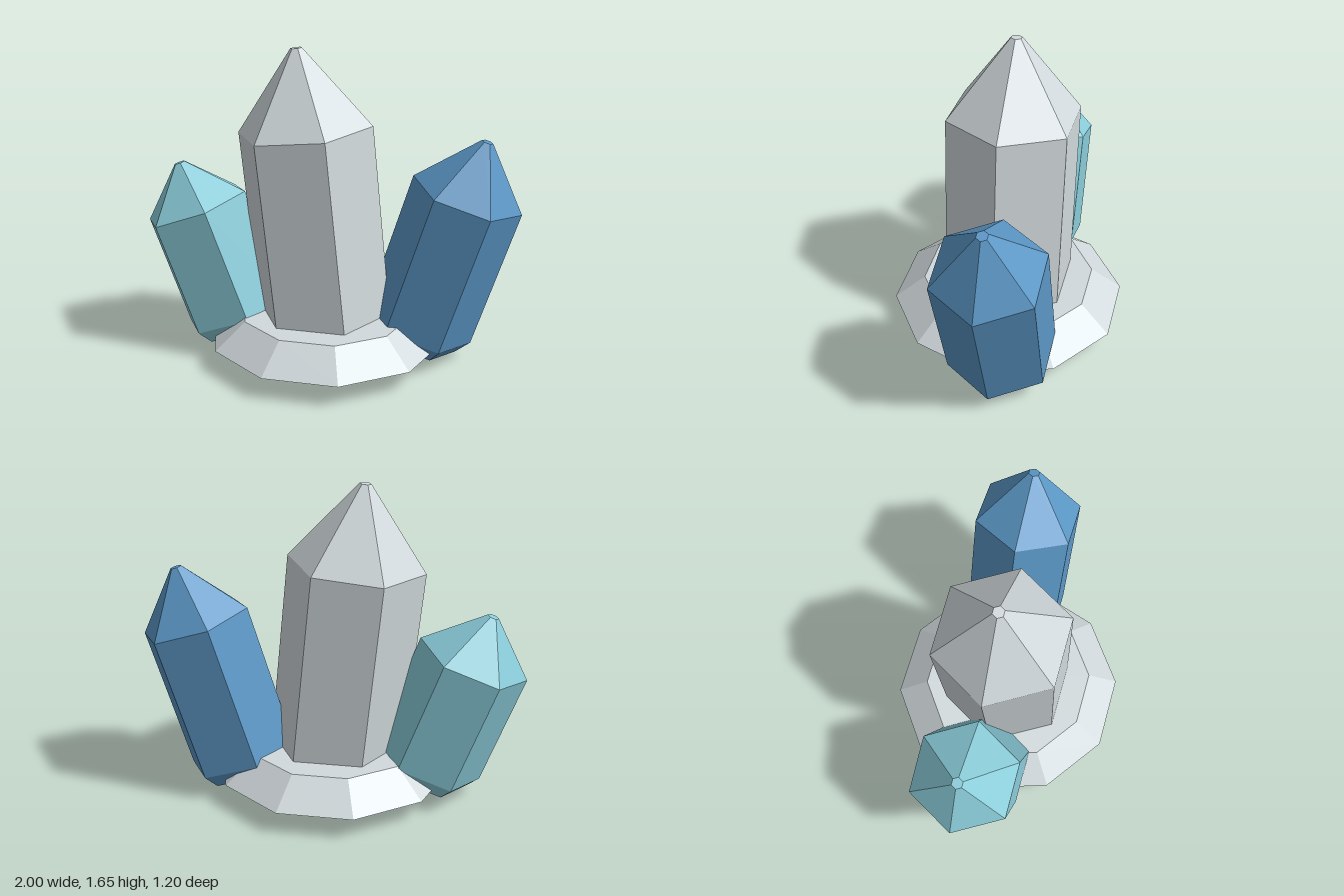
import * as THREE from 'three';

const material = (name, color) => {
  const m = new THREE.MeshStandardMaterial({ color, flatShading: true });
  m.name = name;
  return m;
};

// Faceted solid from [radius, height] pairs, bottom to top, with a corner on +x
function faceted(name, profile, sides, mat) {
  const points = profile.map(([r, y]) => new THREE.Vector2(r, y));
  const geometry = new THREE.LatheGeometry(points, sides, Math.PI / 2);
  const mesh = new THREE.Mesh(geometry, mat);
  mesh.name = name;
  return mesh;
}

// Six-sided crystal whose origin is the centre of its shoulder ring
function crystal({ name, mat, radius, tip, body, bevel, lean, position }) {
  const mesh = faceted(name, [
    [0, -body - bevel],
    [radius * 0.81, -body - bevel],
    [radius, -body],
    [radius, 0],
    [0.03, tip],
    [0, tip],
  ], 6, mat);
  mesh.position.set(...position);
  mesh.rotation.z = lean;
  return mesh;
}

export function createModel() {
  const model = new THREE.Group();
  model.name = 'crystalCluster';
  const pale = material('pale grey', 0xd2dadd);
  const teal = material('light teal', 0x8accd9);
  const blue = material('blue', 0x5b97c6);

  // Ten-sided rock base
  model.add(faceted('base', [
    [0, 0], [0.4, 0], [0.63, 0.115], [0.463, 0.253], [0, 0.253],
  ], 10, pale));

  // Three leaning crystals
  model.add(
    crystal({ name: 'centreCrystal', mat: pale, radius: 0.357, tip: 0.417, body: 1.07,
      bevel: 0.11, lean: 0.1, position: [-0.115, 1.236, 0] }),
    crystal({ name: 'leftCrystal', mat: blue, radius: 0.293, tip: 0.3, body: 0.775,
      bevel: 0.08, lean: -0.3, position: [0.717, 0.915, -0.087] }),
    crystal({ name: 'rightCrystal', mat: teal, radius: 0.292, tip: 0.25, body: 0.623,
      bevel: 0.08, lean: 0.35, position: [-0.726, 0.77, -0.026] }),
  );
  return model;
}
